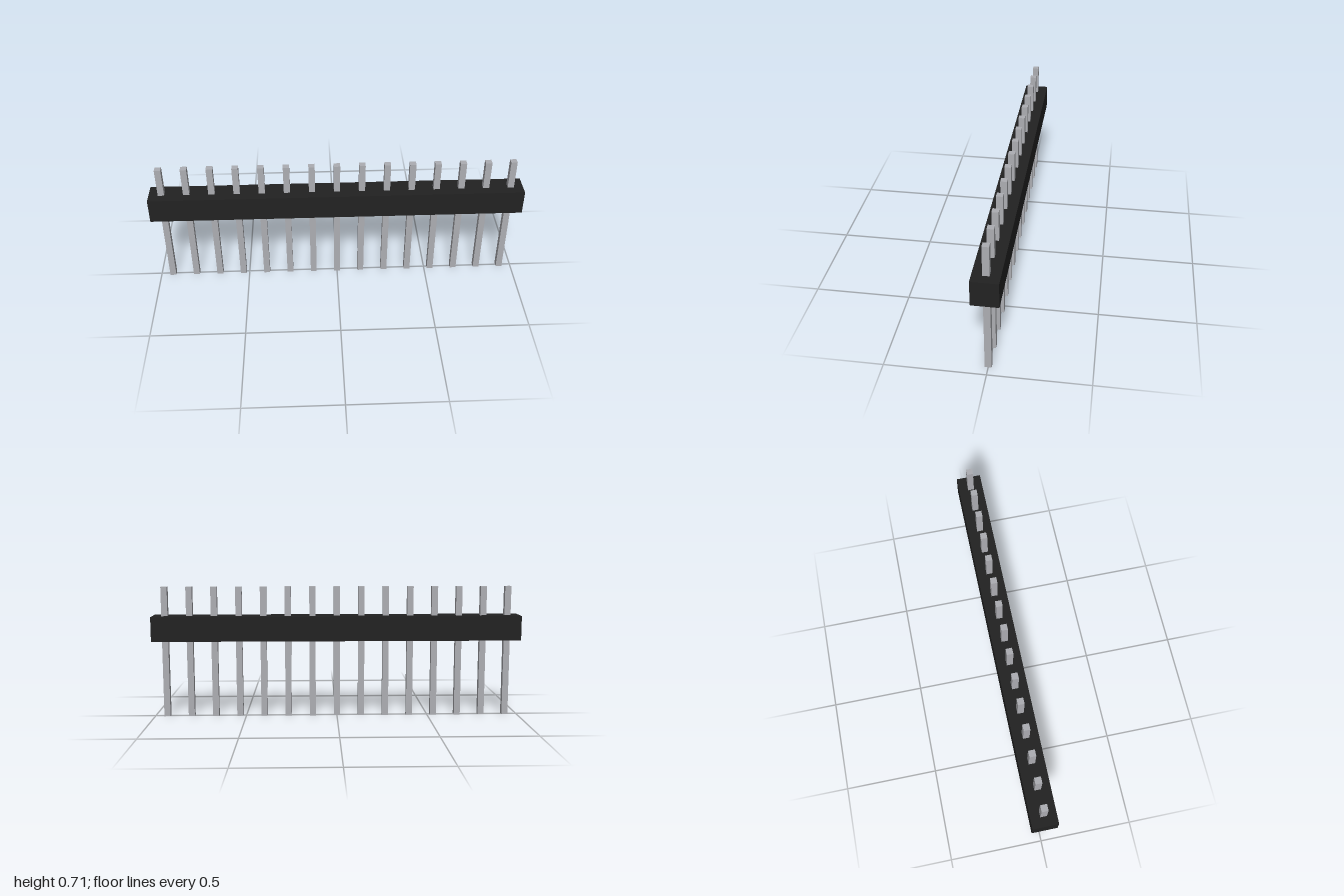
import * as THREE from 'three';

export function createModel() {
  const model = new THREE.Group();
  model.name = 'pinHeader';

  const blackPlastic = new THREE.MeshStandardMaterial({ color: 0x222222 });
  blackPlastic.name = 'blackPlastic';
  const greyMetal = new THREE.MeshStandardMaterial({ color: 0xadaeb3 });
  greyMetal.name = 'greyMetal';

  const count = 15;
  const pitch = 2 / count;
  const pinWidth = 0.0335;
  const pinHeight = 0.712;

  // Insulating strip holding the pins
  const strip = new THREE.Mesh(new THREE.BoxGeometry(2, pitch, pitch), blackPlastic);
  strip.name = 'housingStrip';
  strip.position.y = 0.487;
  model.add(strip);

  // Square pins passing through the strip
  const pins = new THREE.Group();
  pins.name = 'pins';
  const pinGeometry = new THREE.BoxGeometry(pinWidth, pinHeight, pinWidth);
  for (let i = 0; i < count; i++) {
    const pin = new THREE.Mesh(pinGeometry, greyMetal);
    pin.name = `pin${i + 1}`;
    pin.position.set((i - (count - 1) / 2) * pitch, pinHeight / 2, 0);
    pins.add(pin);
  }
  model.add(pins);

  return model;
}
